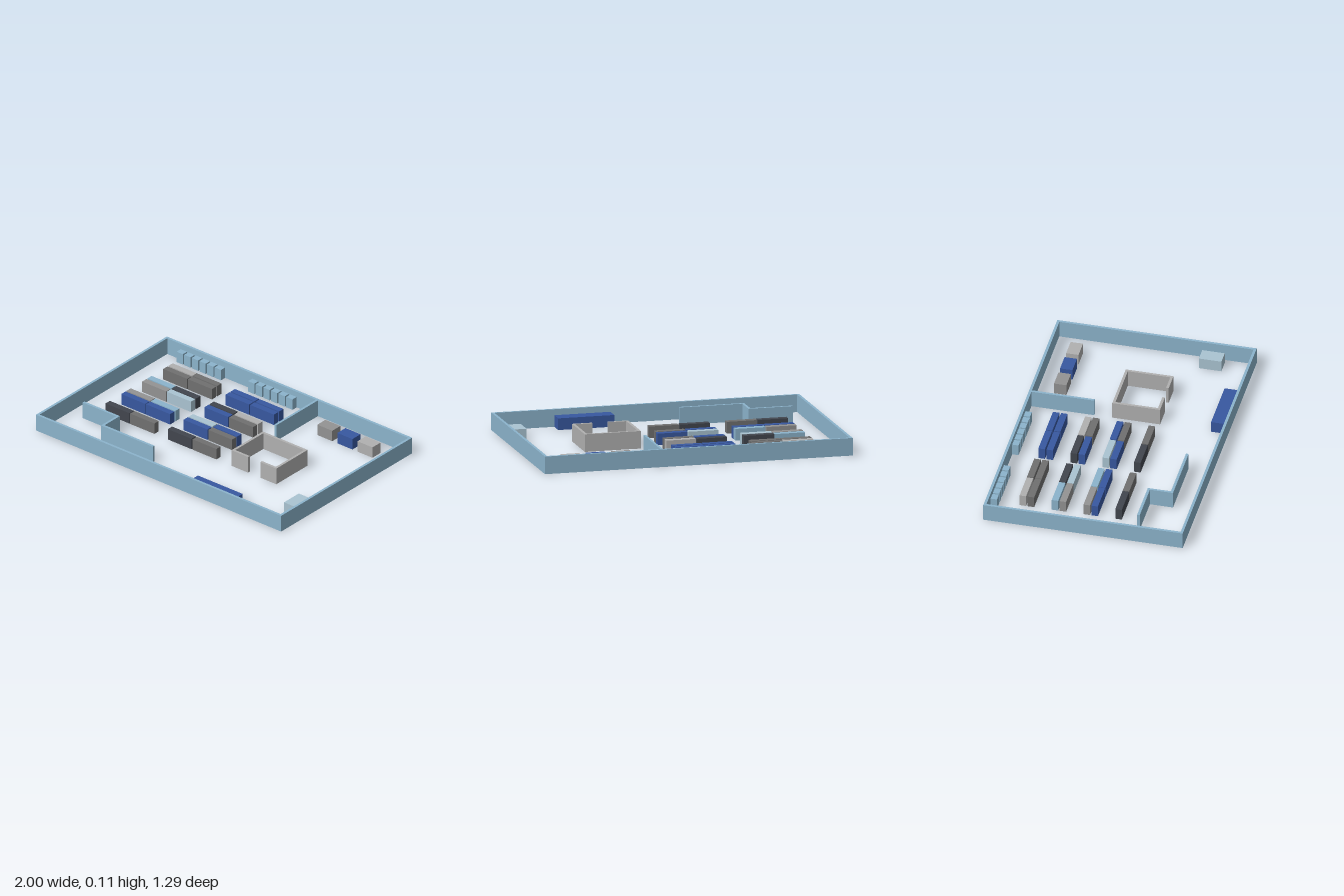
import * as THREE from 'three';

const WALL_H = 0.113, UNIT_H = 0.075, T = 0.017;
const COLORS = {
  wall: 0x8cb4cc, pale: 0xaac4d2, blue: 0x3858a0, light: 0xb0b0b0,
  grey: 0x939393, mid: 0x707070, dark: 0x42464e,
};

export function createModel() {
  const model = new THREE.Group();
  const materials = {};
  for (const key in COLORS) materials[key] = new THREE.MeshStandardMaterial({ color: COLORS[key] });

  // Block standing on the ground, given by its plan corners
  const block = (parent, name, color, x0, x1, z0, z1, h) => {
    const mesh = new THREE.Mesh(new THREE.BoxGeometry(x1 - x0, h, z1 - z0), materials[color]);
    mesh.position.set((x0 + x1) / 2, h / 2, (z0 + z1) / 2);
    mesh.name = name;
    parent.add(mesh);
  };
  const group = (name) => {
    const g = new THREE.Group();
    g.name = name;
    model.add(g);
    return g;
  };
  // Ring wall seen in plan, with an optional doorway in the front side
  const ringWall = (name, color, x0, x1, z0, z1, door) => {
    const g = group(name);
    block(g, 'backWall', color, x0, x1, z0, z0 + T, WALL_H);
    block(g, 'rightWall', color, x0, x0 + T, z0 + T, z1 - T, WALL_H);
    block(g, 'leftWall', color, x1 - T, x1, z0 + T, z1 - T, WALL_H);
    const spans = door ? [[x0, door[0]], [door[1], x1]] : [[x0, x1]];
    for (const [a, b] of spans) block(g, 'frontWall', color, a, b, z1 - T, z1, WALL_H);
  };

  // Outer walls and the small inner room
  ringWall('outerWalls', 'wall', -1, 1, -0.643, 0.643);
  ringWall('innerRoom', 'light', 0.23, 0.595, -0.105, 0.203, [0.365, 0.465]);

  // Partitions
  const partitions = group('partitions');
  block(partitions, 'backPartition', 'wall', 0.229, 0.245, -0.626, -0.22, WALL_H);
  block(partitions, 'sidePartition', 'wall', -0.873, -0.6, 0.319, 0.336, WALL_H);
  block(partitions, 'stepPartition', 'wall', -0.6, -0.584, 0.319, 0.485, WALL_H);
  block(partitions, 'frontPartition', 'wall', -0.584, -0.177, 0.468, 0.485, WALL_H);

  // Shelf rows: z position, then the colour of each of the four columns
  const shelves = group('shelves');
  const columns = [[-0.798, -0.602], [-0.597, -0.4], [-0.29, -0.096], [-0.088, 0.105]];
  const rows = [
    [-0.457, 'light', 'mid', 'blue', 'blue'],
    [-0.405, 'mid', 'mid', 'blue', 'blue'],
    [-0.25, 'wall', 'dark', 'dark', 'light'],
    [-0.199, 'grey', 'pale', 'blue', 'mid'],
    [-0.045, 'grey', 'wall', 'pale', 'blue'],
    [0.006, 'blue', 'blue', 'blue', 'mid'],
    [0.16, 'dark', 'mid', 'dark', 'mid'],
  ];
  for (const [z, ...colors] of rows) {
    colors.forEach((c, i) => block(shelves, 'shelf', c, ...columns[i], z, z + 0.042, UNIT_H));
  }

  // Two banks of six cabinets along the back wall
  const cabinets = group('cabinets');
  for (const start of [-0.873, -0.29]) {
    for (let i = 0; i < 6; i++) {
      const x = start + i * 0.0622;
      block(cabinets, 'cabinet', 'wall', x, x + 0.051, -0.626, -0.585, UNIT_H);
    }
  }

  // Free-standing tables, front counter and side box
  ['grey', 'blue', 'light'].forEach((c, i) => {
    const x = 0.395 + i * 0.164;
    block(model, 'table', c, x, x + 0.122, -0.52, -0.44, UNIT_H);
  });
  block(model, 'frontCounter', 'blue', 0.23, 0.595, 0.532, 0.626, UNIT_H);
  block(model, 'sideBox', 'pale', 0.862, 0.953, 0.303, 0.448, UNIT_H);

  return model;
}
